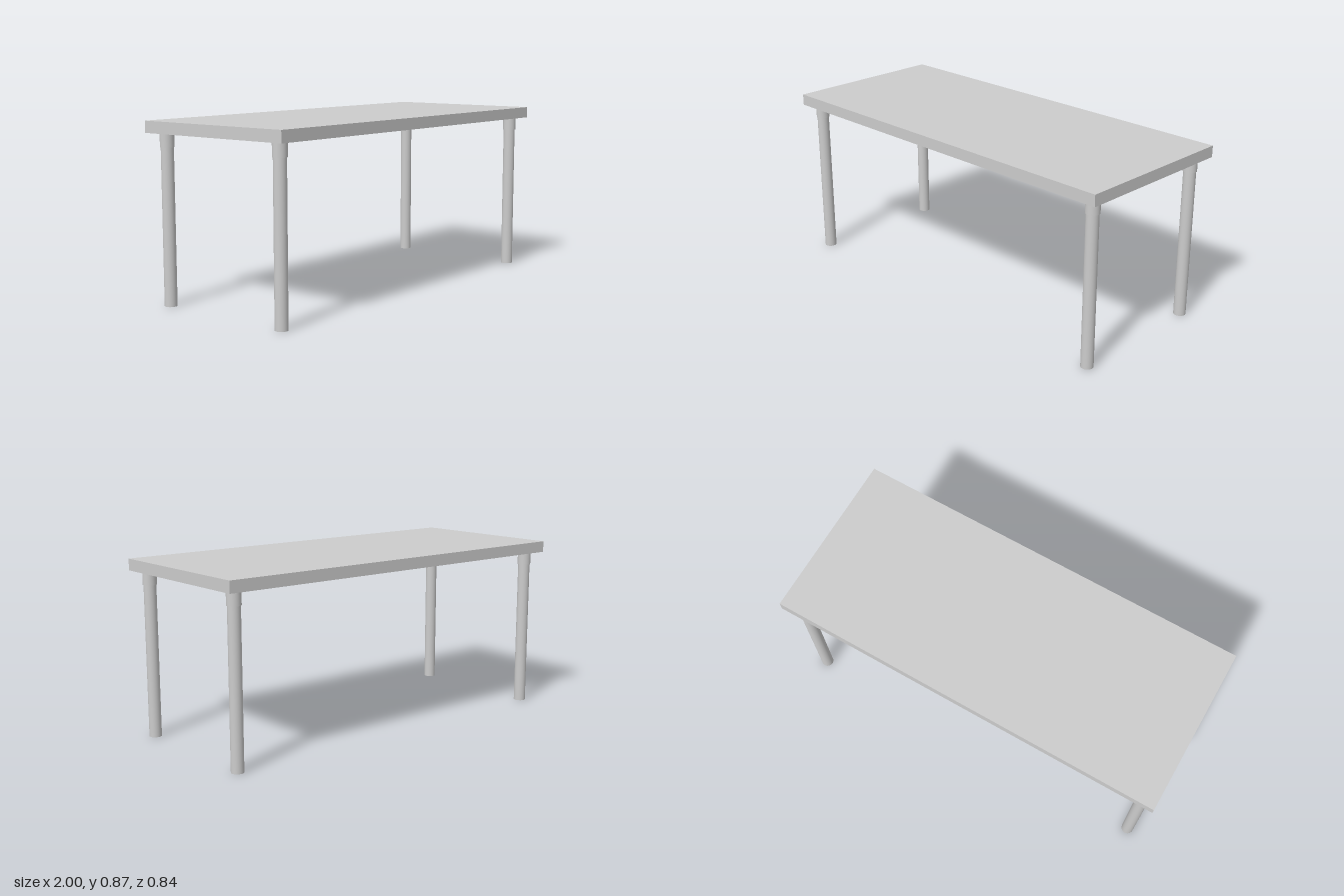
import * as THREE from 'three';

const TOP = 0.868, UNDERSIDE = 0.812, COLLAR_BOTTOM = 0.746;
const LEG_X = 0.932, LEG_Z = 0.35;

export function createModel() {
  const table = new THREE.Group();
  table.name = 'table';
  const material = new THREE.MeshStandardMaterial({ color: 0xcccccc });

  const add = (parent, name, geometry, y) => {
    const mesh = new THREE.Mesh(geometry, material);
    mesh.name = name;
    mesh.position.y = y;
    parent.add(mesh);
  };

  // Flat rectangular slab
  add(table, 'tabletop', new THREE.BoxGeometry(2, TOP - UNDERSIDE, 0.843), (TOP + UNDERSIDE) / 2);

  // Round legs, each held in a slightly wider collar under the slab
  const legGeometry = new THREE.CylinderGeometry(0.03, 0.03, UNDERSIDE, 48);
  const collarGeometry = new THREE.CylinderGeometry(0.0335, 0.0335, UNDERSIDE - COLLAR_BOTTOM, 48);
  for (const [zName, sz] of [['front', 1], ['back', -1]]) {
    for (const [xName, sx] of [['Left', 1], ['Right', -1]]) {
      const corner = new THREE.Group();
      corner.name = `${zName}${xName}Leg`;
      corner.position.set(sx * LEG_X, 0, sz * LEG_Z);
      add(corner, 'leg', legGeometry, UNDERSIDE / 2);
      add(corner, 'collar', collarGeometry, (UNDERSIDE + COLLAR_BOTTOM) / 2);
      table.add(corner);
    }
  }
  return table;
}
